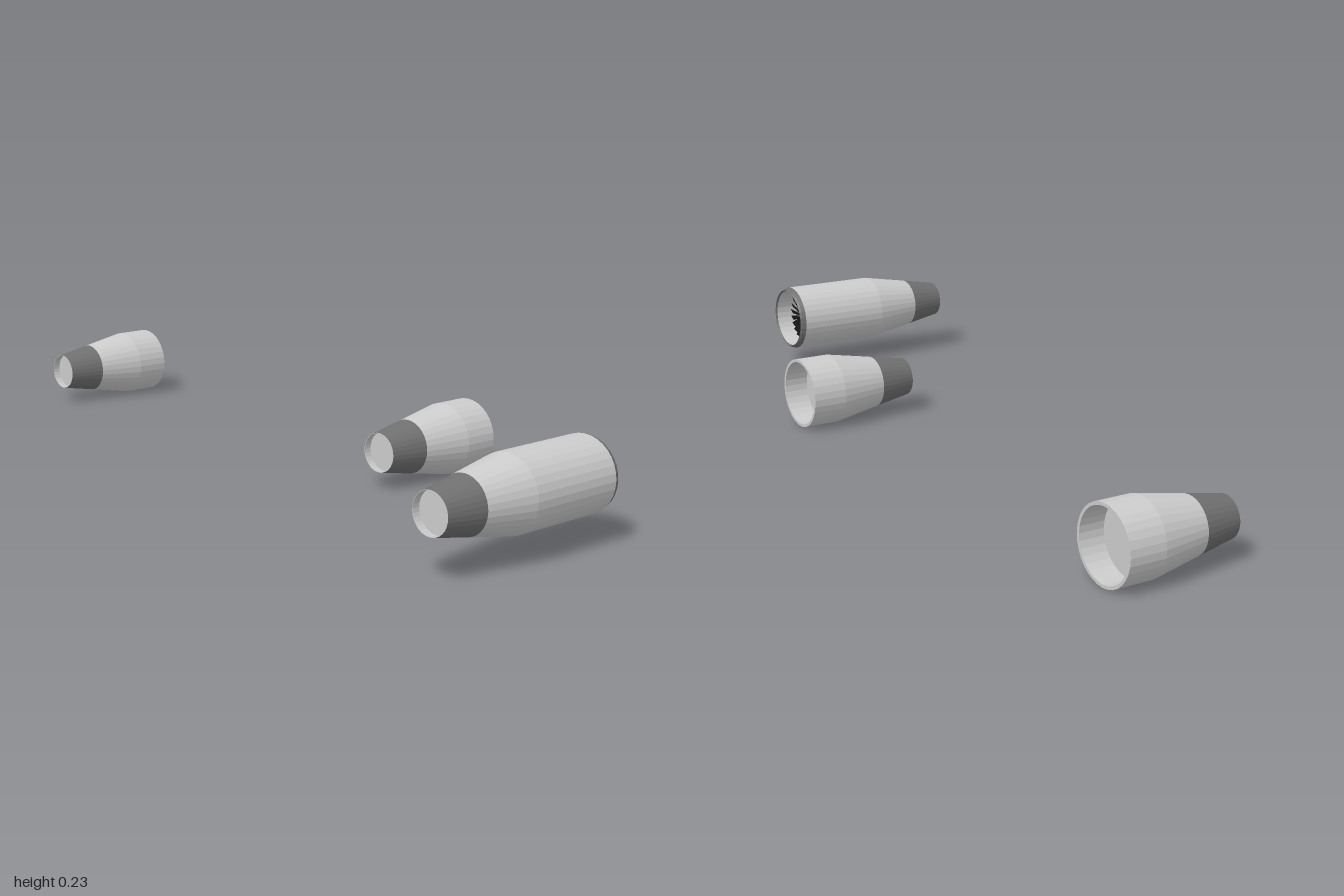
import * as THREE from 'three';

const SIDES = 32;
const material = (color) => new THREE.MeshStandardMaterial({ color, flatShading: true, side: THREE.DoubleSide });
const shell = material(0xcccccc);
const dark = material(0x707070);
const black = material(0x1c1c1c);

// Surface of revolution about the x axis from [x, radius] points
function revolve(name, points, mat) {
  const profile = points.map(([x, r]) => new THREE.Vector2(r, x));
  const geometry = new THREE.LatheGeometry(profile, SIDES);
  geometry.rotateZ(-Math.PI / 2);
  const mesh = new THREE.Mesh(geometry, mat);
  mesh.name = name;
  return mesh;
}

// Dark nozzle with a shallow recessed exhaust, starting at x = tail
function addNozzle(group, tail) {
  group.add(revolve('nozzle', [[tail, 0.047], [tail + 0.094, 0.064]], dark));
  group.add(revolve('exhaust', [[tail + 0.02, 0], [tail + 0.02, 0.047], [tail, 0.046], [tail, 0.047]], shell));
}

// Short nacelle: open intake with a plain disc inside
function shortNacelle(name, z) {
  const group = new THREE.Group();
  group.name = name;
  addNozzle(group, 0.058);
  group.add(revolve('cowl', [
    [0.152, 0.064], [0.272, 0.086], [0.358, 0.086], [0.358, 0.079], [0.298, 0.079],
  ], shell));
  group.add(revolve('intakeDisc', [[0.298, 0.079], [0.298, 0]], shell));
  group.position.set(0, 0.086, z);
  return group;
}

// Fan: tapered blades around a small pointed hub
function fan(x) {
  const group = new THREE.Group();
  group.name = 'fan';
  const outline = new THREE.Shape([
    new THREE.Vector2(-0.003, 0.01), new THREE.Vector2(0.003, 0.01),
    new THREE.Vector2(0.0075, 0.076), new THREE.Vector2(-0.0075, 0.076),
  ]);
  const bladeGeometry = new THREE.ShapeGeometry(outline);
  bladeGeometry.rotateY(Math.PI / 2 - 0.4);
  const count = 24;
  for (let i = 0; i < count; i++) {
    const blade = new THREE.Mesh(bladeGeometry, black);
    blade.name = 'fanBlade';
    blade.rotation.x = (i / count) * Math.PI * 2;
    group.add(blade);
  }
  group.add(revolve('hub', [[-0.008, 0.018], [0.004, 0.016], [0.02, 0]], black));
  group.position.x = x;
  return group;
}

// Long nacelle: chamfered dark lip and a bladed fan
function longNacelle(name, z) {
  const group = new THREE.Group();
  group.name = name;
  addNozzle(group, -0.36);
  group.add(revolve('cowl', [[-0.266, 0.064], [-0.143, 0.086], [0.1, 0.086]], shell));
  group.add(revolve('intakeLip', [[0.1, 0.086], [0.11, 0.083], [0.115, 0.079], [0.11, 0.077]], dark));
  group.add(revolve('intakeDuct', [[0.11, 0.077], [0.05, 0.077]], shell));
  group.add(revolve('fanBackPlate', [[0.05, 0.077], [0.05, 0]], dark));
  group.add(fan(0.065));
  group.position.set(0, 0.139, z);
  return group;
}

export function createModel() {
  const model = new THREE.Group();
  model.name = 'engineNacelles';
  model.add(longNacelle('longNacelle', 0.914));
  model.add(shortNacelle('shortNacelleFront', 0.36));
  model.add(shortNacelle('shortNacelleBack', -0.914));
  return model;
}
